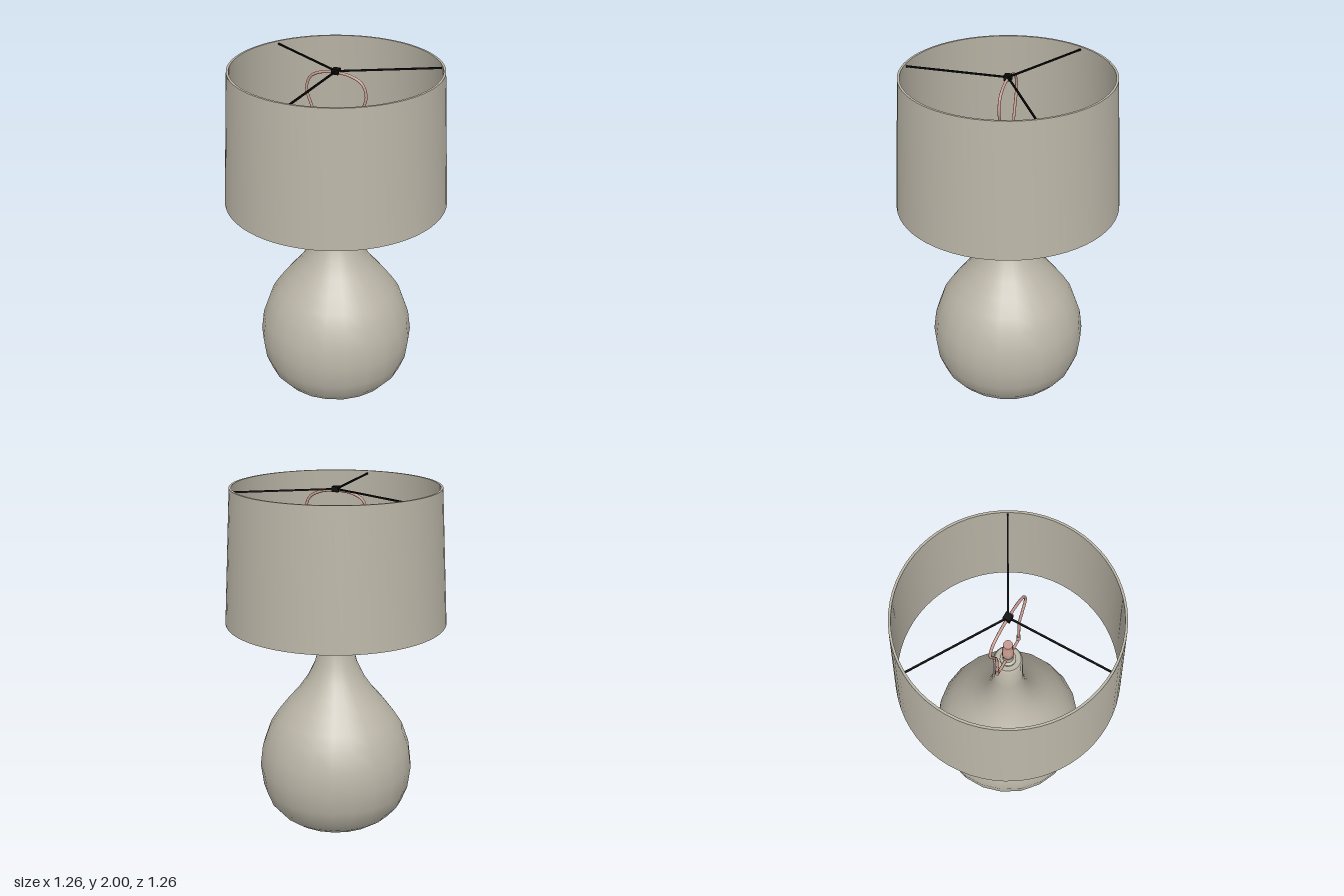
import * as THREE from 'three';
import { toCreasedNormals } from 'three/addons/utils/BufferGeometryUtils.js';

const mat = (name, color) => {
  const m = new THREE.MeshStandardMaterial({ color });
  m.name = name;
  return m;
};

export function createModel() {
  const stone = mat('warm grey', 0xb9b4a6);
  const copper = mat('copper pink', 0xc79a8f);
  const black = mat('black', 0x0a0a0a);
  const model = new THREE.Group();
  model.name = 'tableLamp';

  const add = (name, geometry, material, parent = model) => {
    const mesh = new THREE.Mesh(geometry, material);
    mesh.name = name;
    parent.add(mesh);
    return mesh;
  };
  // Revolve [radius, height] pairs, listed from the bottom up the outside
  const lathe = (profile, sides, crease = 0.9) => toCreasedNormals(
    new THREE.LatheGeometry(profile.map(([r, y]) => new THREE.Vector2(r, y)), sides), crease);

  // Gourd-shaped body with a shallow recess underneath and a flat neck top
  add('body', lathe([
    [0, 0.03], [0.14, 0.02], [0.23, 0], [0.29, 0.015], [0.345, 0.055], [0.4, 0.12],
    [0.435, 0.21], [0.452, 0.34], [0.437, 0.46], [0.395, 0.58], [0.35, 0.65],
    [0.285, 0.735], [0.22, 0.81], [0.165, 0.89], [0.123, 0.98], [0.098, 1.08],
    [0.084, 1.19], [0.08, 1.42], [0.072, 1.43], [0, 1.43],
  ], 22), stone);

  // Tapered shade, a thin closed wall
  add('shade', lathe([
    [0.632, 1.23], [0.588, 2], [0.575, 2], [0.619, 1.23], [0.632, 1.23],
  ], 64), stone);

  // Socket on a short stem
  add('socketStem', lathe([
    [0.045, 1.43], [0.045, 1.44], [0.029, 1.445], [0.029, 1.487], [0, 1.487],
  ], 20), stone);
  add('socket', lathe([
    [0, 1.482], [0.024, 1.482], [0.032, 1.5], [0.032, 1.56], [0.026, 1.575],
    [0.026, 1.63], [0, 1.63],
  ], 20), copper);

  // Wire harp: one half outline mirrored into a loop
  const half = [[0.115, 1.48], [0.116, 1.58], [0.12, 1.69], [0.15, 1.77],
    [0.178, 1.86], [0.155, 1.93], [0.09, 1.965]];
  const path = [
    ...half.map(([x, y]) => new THREE.Vector3(x, y, 0)),
    new THREE.Vector3(0, 1.975, 0),
    ...half.slice().reverse().map(([x, y]) => new THREE.Vector3(-x, y, 0)),
  ];
  const harp = new THREE.Group();
  harp.name = 'harp';
  model.add(harp);
  add('harpLoop', new THREE.TubeGeometry(new THREE.CatmullRomCurve3(path), 90, 0.008, 8), copper, harp);
  const saddle = new THREE.CatmullRomCurve3([[-0.115, 1.485], [-0.11, 1.463], [-0.09, 1.458],
    [0, 1.458], [0.09, 1.458], [0.11, 1.463], [0.115, 1.485]].map(([x, y]) => new THREE.Vector3(x, y, 0)));
  add('harpSaddle', new THREE.TubeGeometry(saddle, 40, 0.008, 8), copper, harp);
  for (const side of [-1, 1]) {
    add('harpFerrule', new THREE.CylinderGeometry(0.011, 0.011, 0.05, 10), copper, harp)
      .position.set(side * 0.115, 1.49, 0);
  }

  // Three-armed spider that carries the shade
  const spider = new THREE.Group();
  spider.name = 'spider';
  model.add(spider);
  add('hub', new THREE.BoxGeometry(0.04, 0.03, 0.04), black, spider).position.y = 1.983;
  for (let i = 0; i < 3; i++) {
    const arm = new THREE.Group();
    arm.name = 'spiderArm';
    arm.rotation.y = i * Math.PI * 2 / 3;
    spider.add(arm);
    add('spoke', new THREE.BoxGeometry(0.009, 0.009, 0.577), black, arm).position.set(0, 1.983, 0.2885);
  }
  return model;
}
